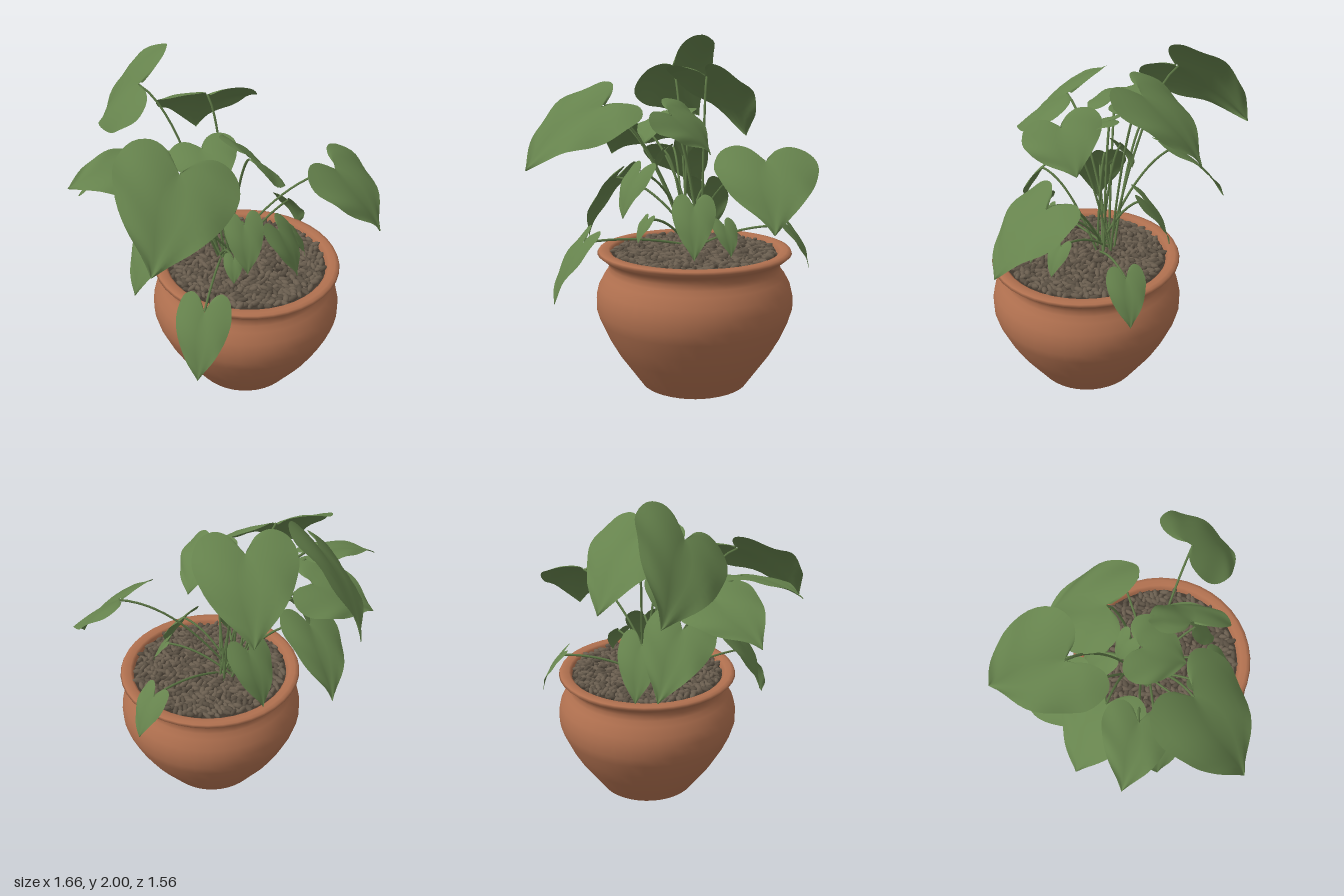
import * as THREE from 'three';
import { mergeGeometries } from 'three/addons/utils/BufferGeometryUtils.js';

const POT_X = 0.105, POT_Z = 0.22;
const CROWN = new THREE.Vector3(0.06, 0.76, 0.1);

// Half outline of a heart-shaped leaf: u runs from joint (0) to tip (1), v is the half width
const OUTLINE = new THREE.CatmullRomCurve3(
  [[-0.04, 0.04], [-0.2, 0.25], [-0.27, 0.55], [-0.17, 0.87], [0.08, 1], [0.36, 0.87], [0.65, 0.56], [0.87, 0.2], [1, 0]]
    .map(([u, v]) => new THREE.Vector3(u, v, 0))
);

// Large upper leaves: joint, tip, roll about the midrib, half width per length
const UPPER_LEAVES = {
  backTopLeaf: [-0.21, 1.81, -0.36, -0.16, 1.47, -0.78, 0.8, 0.55],
  backRightLeaf: [0.08, 1.75, -0.11, 0.25, 1.38, -0.42, 0, 0.56],
  backLeftLeaf: [-0.35, 1.43, -0.18, -0.64, 1.24, -0.39, -0.25, 0.6],
  backLowerLeaf: [-0.2, 1.3, -0.34, -0.12, 1, -0.65, 0.35, 0.45],
  leftBigLeaf: [-0.43, 1.59, 0.27, -0.8, 1.24, 0.5, 0.4, 0.6],
  leftSideLeaf: [-0.5, 1.52, -0.03, -0.83, 1.46, -0.17, 0.25, 0.52],
  frontBigLeaf: [0.56, 1.34, 0.46, 0.67, 1.01, 0.74, 0, 0.61],
  upperMiddleLeaf: [-0.1, 1.54, 0.05, -0.17, 1.39, 0.29, -0.2, 0.66],
  upperFrontLeaf: [0, 1.56, 0.34, 0.21, 1.34, 0.27, -0.4, 0.75],
};

// Smaller leaves that droop outward from the crown: joint, length
const DROOPING_LEAVES = {
  frontMiddleLeaf: [-0.14, 1.25, 0.45, 0.27],
  frontLowLeaf: [0.16, 1.07, 0.42, 0.3],
  frontSmallLeaf: [-0.13, 0.97, 0.36, 0.14],
  rimSmallLeaf: [0.32, 0.97, 0.38, 0.18],
  rightHangingLeaf: [0.61, 0.92, 0.05, 0.27],
  leftHangingLeaf: [-0.42, 1.16, 0.08, 0.42],
  frontHangingLeaf: [-0.46, 0.85, 0.5, 0.38],
  backHangingLeaf: [0.07, 1.1, -0.13, 0.34],
  innerLeaf: [0, 1.43, 0, 0.19],
  innerLowLeaf: [-0.12, 1.33, 0.08, 0.18],
};

// Curved blade: rows follow the outline, columns run across the midrib
function leafGeometry(joint, tip, roll, widthRatio) {
  const rows = 28, cols = 5, width = 2 * cols + 1;
  const along = tip.clone().sub(joint), len = along.length(), wide = widthRatio * len;
  const side = new THREE.Vector3(-along.z, 0, along.x).normalize();
  const up = new THREE.Vector3().crossVectors(along, side).normalize();
  if (up.y < 0) up.negate();
  const flat = side.clone();
  side.multiplyScalar(Math.cos(roll)).addScaledVector(up, Math.sin(roll));
  up.multiplyScalar(Math.cos(roll)).addScaledVector(flat, -Math.sin(roll));
  const pos = [], index = [];
  for (let i = 0; i <= rows; i++) {
    const edge = OUTLINE.getPoint(i / rows), mid = (i / rows) ** 1.4;
    for (let j = -cols; j <= cols; j++) {
      const k = Math.abs(j) / cols;
      const u = mid + (edge.x - mid) * k, v = (edge.y * j) / cols;
      // Arched along the midrib, lightly creased, edges curling down with a soft wave
      const lift = 0.28 * len * u * (1 - u) + wide * (0.22 * Math.abs(v) - 0.28 * v * v)
        + 0.035 * wide * k * k * Math.sin(u * 11 + j);
      const p = joint.clone().addScaledVector(along, u).addScaledVector(side, v * wide).addScaledVector(up, lift);
      pos.push(p.x, p.y, p.z);
      if (i < rows && j < cols) {
        const a = i * width + j + cols, b = a + width;
        index.push(a, b, a + 1, b, b + 1, a + 1);
      }
    }
  }
  const g = new THREE.BufferGeometry();
  g.setAttribute('position', new THREE.Float32BufferAttribute(pos, 3));
  g.setIndex(index);
  g.computeVertexNormals();
  return g;
}

export function createModel() {
  const model = new THREE.Group();
  const mat = (name, color, side = THREE.FrontSide) => {
    const m = new THREE.MeshStandardMaterial({ color, side });
    m.name = name;
    return m;
  };
  const terracotta = mat('terracotta', 0xb0704f);
  const leafGreen = mat('leafGreen', 0x66834d, THREE.DoubleSide);
  const stemGreen = mat('stemGreen', 0x5f7a47);
  const soilBrown = mat('soilBrown', 0x40372e);
  const pebbles = [mat('pebbleBrown', 0x6a5e4f), mat('pebbleDark', 0x5a5043)];
  const add = (name, geometry, material, parent = model) => {
    const mesh = new THREE.Mesh(geometry, material);
    mesh.name = name;
    parent.add(mesh);
    return mesh;
  };

  let seed = 7;
  const rand = () => (seed = (seed * 16807) % 2147483647) / 2147483647;

  // Round-bellied pot with a rolled rim
  const profile = [[0, 0], [0.28, 0], [0.306, 0.012], [0.44, 0.2], [0.497, 0.3], [0.542, 0.4], [0.56, 0.46],
    [0.561, 0.53], [0.547, 0.59], [0.515, 0.65], [0.492, 0.68], [0.487, 0.71], [0.495, 0.74], [0.525, 0.757],
    [0.552, 0.78], [0.545, 0.795], [0.525, 0.8], [0.49, 0.797], [0.475, 0.785], [0.465, 0.74]];
  const pot = add('pot', new THREE.LatheGeometry(profile.map(([r, y]) => new THREE.Vector2(r, y)), 40), terracotta);
  pot.position.set(POT_X, 0, POT_Z);

  // Soil under the pebbles
  const soil = add('soil', new THREE.CircleGeometry(0.475, 40).rotateX(-Math.PI / 2), soilBrown);
  soil.position.set(POT_X, 0.765, POT_Z);

  // Loose pebbles spread evenly over the soil
  const stones = [[], []], count = 620;
  for (let i = 0; i < count; i++) {
    const r = 0.455 * Math.sqrt((i + 0.5) / count), a = i * 2.39996;
    const g = new THREE.SphereGeometry(1, 7, 5);
    g.scale(0.026 + rand() * 0.012, 0.012 + rand() * 0.006, 0.013 + rand() * 0.006);
    g.rotateZ((rand() - 0.5) * 0.8).rotateY(rand() * Math.PI);
    g.translate(POT_X + r * Math.cos(a), 0.773 + rand() * 0.016, POT_Z + r * Math.sin(a));
    stones[rand() < 0.6 ? 0 : 1].push(g);
  }
  stones.forEach((list, i) => add(i ? 'darkPebbles' : 'brownPebbles', mergeGeometries(list), pebbles[i]));

  // A leaf on a stem that arches out of the soil
  const addLeaf = (name, joint, tip, roll, widthRatio) => {
    const plant = new THREE.Group();
    plant.name = name;
    model.add(plant);
    add('blade', leafGeometry(joint, tip, roll, widthRatio), leafGreen, plant);
    const a = rand() * Math.PI * 2;
    const start = CROWN.clone().add(new THREE.Vector3(0.05 * Math.cos(a), 0, 0.05 * Math.sin(a)));
    const bend = start.clone().lerp(joint, 0.5);
    bend.y = joint.y - 0.12 * (joint.y - start.y) + 0.03;
    const curve = new THREE.QuadraticBezierCurve3(start, bend, joint);
    add('stem', new THREE.TubeGeometry(curve, 16, 0.0072, 6), stemGreen, plant);
  };
  for (const [name, n] of Object.entries(UPPER_LEAVES)) {
    addLeaf(name, new THREE.Vector3(...n.slice(0, 3)), new THREE.Vector3(...n.slice(3, 6)), n[6], n[7]);
  }
  for (const [name, [x, y, z, length]] of Object.entries(DROOPING_LEAVES)) {
    const joint = new THREE.Vector3(x, y, z);
    const droop = joint.clone().sub(CROWN).setY(0).setLength(0.45 * length).setY(-0.89 * length);
    addLeaf(name, joint, joint.clone().add(droop), 0, 0.4);
  }
  return model;
}
